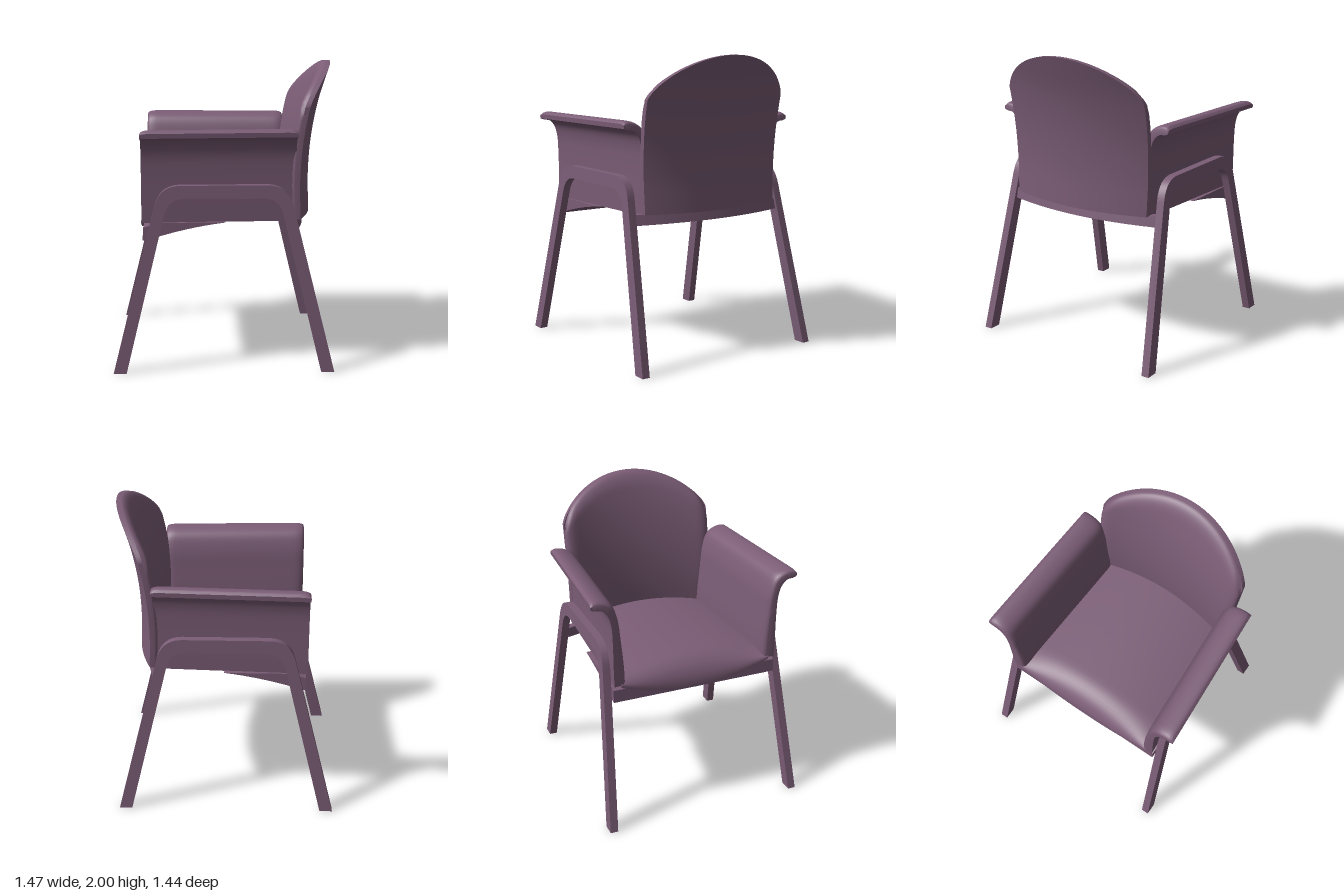
import * as THREE from 'three';
import { toCreasedNormals } from 'three/addons/utils/BufferGeometryUtils.js';

const material = new THREE.MeshStandardMaterial({ color: 0x7b5d76 });
const lerp = THREE.MathUtils.lerp;

function add(parent, name, geometry) {
  const mesh = new THREE.Mesh(geometry, material);
  mesh.name = name;
  parent.add(mesh);
}

// Closed slab between two surfaces: point(u, v, k), u in -1..1, v in 0..1, k = 0 face, 1 reverse
function slab(point, nu, nv) {
  const pos = [], index = [], row = nu + 1, size = row * (nv + 1);
  for (let k = 0; k < 2; k++)
    for (let j = 0; j <= nv; j++)
      for (let i = 0; i <= nu; i++)
        pos.push(...point(Math.sin((i / nu - 0.5) * Math.PI), j / nv, k));
  const quad = (a, b, c, d) => index.push(a, b, c, a, c, d);
  for (let j = 0; j < nv; j++)
    for (let i = 0; i < nu; i++) {
      const a = j * row + i;
      quad(a, a + 1, a + row + 1, a + row);
      quad(size + a, size + a + row, size + a + row + 1, size + a + 1);
    }
  // Rim walls joining both faces
  const rim = [];
  for (let i = 0; i < nu; i++) rim.push(i);
  for (let j = 0; j < nv; j++) rim.push(j * row + nu);
  for (let i = nu; i > 0; i--) rim.push(nv * row + i);
  for (let j = nv; j > 0; j--) rim.push(j * row);
  rim.forEach((a, n) => {
    const b = rim[(n + 1) % rim.length];
    quad(a, size + a, size + b, b);
  });
  const g = new THREE.BufferGeometry();
  g.setAttribute('position', new THREE.Float32BufferAttribute(pos, 3));
  g.setIndex(index);
  return toCreasedNormals(g, 0.7);
}

const spline = (pts) => new THREE.CatmullRomCurve3(pts.map(([a, b]) => new THREE.Vector3(a, b, 0)));

// Inverted U leg frame, leaning inwards towards the top
function legFrame(side) {
  const s = new THREE.Shape();
  s.moveTo(-0.7225, 0);
  s.lineTo(-0.45, 1.09);
  s.quadraticCurveTo(-0.415, 1.23, -0.28, 1.23);
  s.lineTo(0.28, 1.23);
  s.quadraticCurveTo(0.415, 1.23, 0.45, 1.09);
  s.lineTo(0.7225, 0);
  s.lineTo(0.638, 0);
  s.lineTo(0.388, 1.03);
  s.quadraticCurveTo(0.36, 1.145, 0.26, 1.145);
  s.lineTo(-0.26, 1.145);
  s.quadraticCurveTo(-0.36, 1.145, -0.388, 1.03);
  s.lineTo(-0.638, 0);
  const g = new THREE.ExtrudeGeometry(s, { depth: 0.053, bevelEnabled: false, curveSegments: 12 });
  g.translate(-0.0125, 0, -0.0265);
  g.applyMatrix4(new THREE.Matrix4().set(
    1, 0, 0, 0,
    0, 1, 0, 0,
    0, -side * 0.064, 1, side * 0.668,
    0, 0, 0, 1));
  return toCreasedNormals(g, 0.5);
}

// Arm panel that flares outwards into a flat rest, narrowing to the rear
const armInner = spline([[0.49, 0.985], [0.495, 1.1], [0.515, 1.3], [0.535, 1.45], [0.575, 1.55], [0.64, 1.587], [0.7, 1.592], [0.72, 1.575]]);
const armOuter = spline([[0.575, 0.98], [0.578, 1.1], [0.58, 1.3], [0.588, 1.42], [0.61, 1.49], [0.65, 1.53], [0.695, 1.537], [0.718, 1.545]]);
function arm(side) {
  return slab((u, v, k) => {
    const x = -0.0425 - side * u * 0.5025;
    const toe = 0.055 * (x + 0.545) / 1.005;
    const o = armOuter.getPoint(v);
    if (k === 0) {
      const edge = Math.max(0, 1 - (1 - Math.abs(u)) / 0.12);
      o.lerp(armInner.getPoint(v), 0.65 + 0.35 * Math.sqrt(1 - edge * edge));
    }
    return [x, o.y, side * (o.x - toe)];
  }, 24, 36);
}

// Curved backrest: rear line through the middle, arched top, rounded front edges
const rearLine = spline([[0.592, 0.99], [0.585, 1.25], [0.602, 1.5], [0.65, 1.75], [0.73, 2.0]]);
function backrest() {
  return slab((u, t, k) => {
    const v = Math.sin(t * Math.PI / 2);
    const top = 1.72 + 0.28 * Math.pow(Math.max(0, 1 - u * u), 0.7);
    const y = lerp(0.99, top, v);
    const z = u * lerp(0.528, 0.542, Math.min(1, (y - 0.99) / 0.6));
    let x = rearLine.getPoint((y - 0.99) / 1.01).x - 0.1 * u * u;
    if (k === 0) {
      const a = Math.max(0, 1 - (1 - Math.abs(u)) / 0.15);
      const b = Math.max(0, 1 - (1 - v) / 0.1);
      const round = Math.sqrt(Math.max(0, 1 - a * a - b * b));
      x -= (0.08 + 0.03 * (1 - u * u) * (1 - v)) * (0.4 + 0.6 * round);
    }
    return [x, y, z];
  }, 36, 28);
}

// Crowned seat with a front edge that rolls down, lowest in the middle
function seat() {
  return slab((u, v, k) => {
    const crown = 1 - u * u;
    const x = lerp(-0.55, 0.53 - 0.07 * u * u, 1 - Math.cos(v * Math.PI / 2));
    const s = Math.min(1, Math.max(0, (-0.35 - x) / 0.2));
    const high = 1.02 + 0.05 * crown, low = 0.985 - 0.1 * crown;
    const top = lerp(low, high, Math.sqrt(1 - s * s));
    const y = k === 0 ? top : Math.min(0.985, top - 0.015);
    return [x, y, u * (0.53 - 0.05 * (x + 0.55))];
  }, 28, 28);
}

// Wedge-shaped front rail under the seat
function frontRail() {
  const s = new THREE.Shape();
  s.moveTo(-0.54, 0.865);
  s.lineTo(-0.52, 0.865);
  s.quadraticCurveTo(-0.26, 0.95, 0, 0.982);
  s.lineTo(-0.44, 0.982);
  s.lineTo(-0.535, 0.95);
  const g = new THREE.ExtrudeGeometry(s, { depth: 1.16, bevelEnabled: false, curveSegments: 10 });
  g.translate(0, 0, -0.58);
  return toCreasedNormals(g, 0.5);
}

// Bowed rear rail, leaning slightly back at its lower edge
function rearRail() {
  return slab((u, v, k) => [
    0.545 - 0.085 * u * u - (k === 0 ? 0.055 : 0) - 0.015 * v,
    lerp(k === 0 ? 0.912 : 0.922, 0.99, v),
    u * 0.58], 24, 1);
}

export function createModel() {
  const chair = new THREE.Group();
  chair.name = 'armchair';
  add(chair, 'seat', seat());
  add(chair, 'backrest', backrest());
  add(chair, 'frontRail', frontRail());
  add(chair, 'rearRail', rearRail());
  for (const [name, side] of [['left', 1], ['right', -1]]) {
    add(chair, name + 'Arm', arm(side));
    add(chair, name + 'LegFrame', legFrame(side));
  }
  return chair;
}
